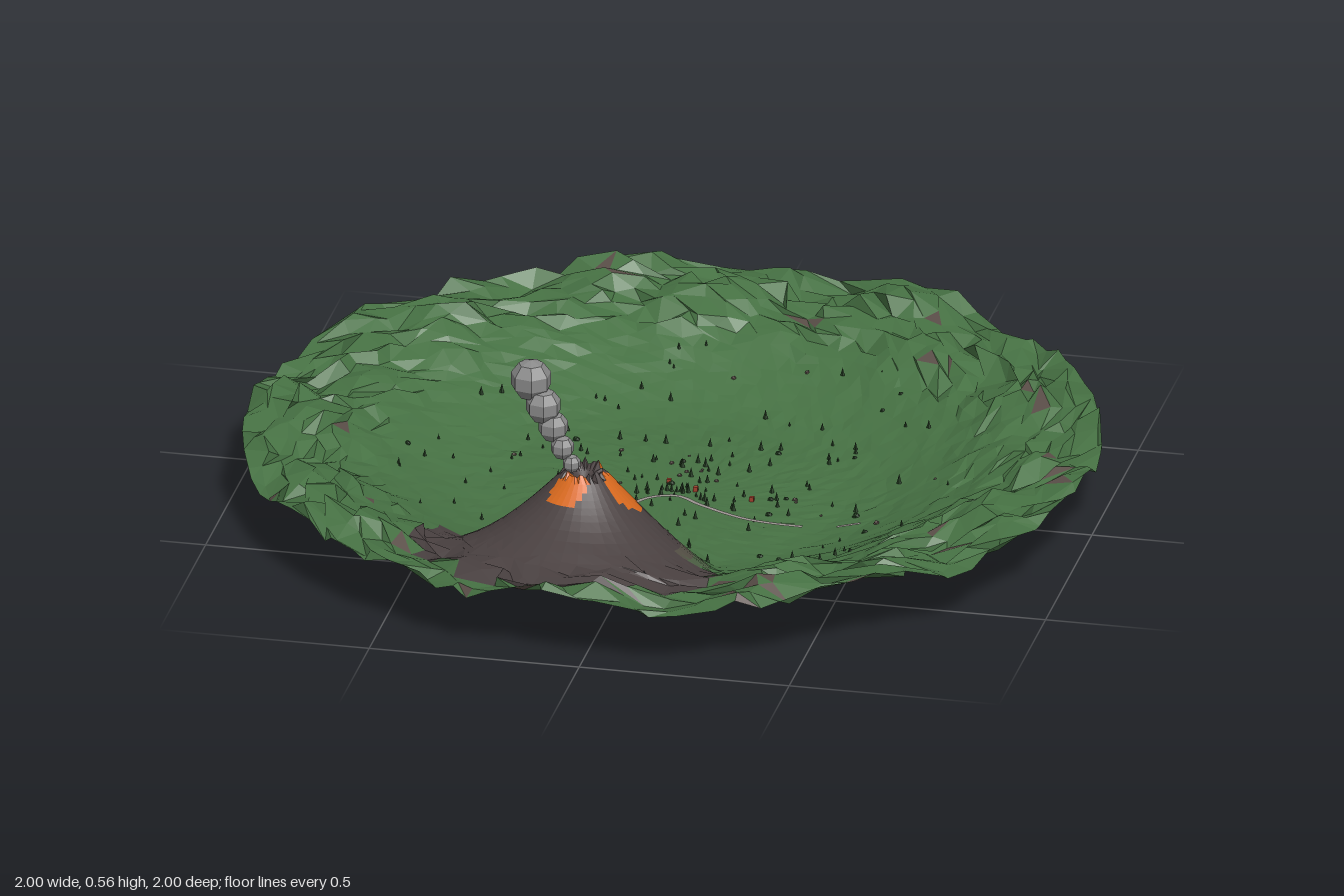
import * as THREE from 'three';
import { mergeGeometries } from 'three/addons/utils/BufferGeometryUtils.js';

const CX = -0.085, CZ = 0.562; // volcano centre

function seeded(seed) {
  return () => {
    seed = (seed * 1664525 + 1013904223) % 4294967296;
    return seed / 4294967296;
  };
}

const { lerp, smoothstep } = THREE.MathUtils;

function material(name, color, doubleSided) {
  const m = new THREE.MeshStandardMaterial({ color });
  m.name = name;
  m.flatShading = true;
  if (doubleSided) m.side = THREE.DoubleSide;
  return m;
}

// Bowl profile: flat floor, then a rising bank, then the rim
const PROFILE = [[0, 0.006], [0.42, 0.008], [0.5, 0.024], [0.6, 0.06], [0.7, 0.105], [0.78, 0.14], [0.88, 0.158], [1.1, 0.164]];
function bowl(r) {
  let i = 1;
  while (i < PROFILE.length - 1 && PROFILE[i][0] < r) i++;
  const [a, b] = [PROFILE[i - 1], PROFILE[i]];
  return lerp(a[1], b[1], (r - a[0]) / (b[0] - a[0]));
}

const coneDistance = (x, z) => Math.hypot(x - CX, z - CZ);

// Height of the smooth ground with the volcano on it
function groundHeight(x, z) {
  const base = bowl(Math.hypot(x, z));
  const d = coneDistance(x, z);
  if (d < 0.045) return lerp(0.27, 0.305, d / 0.045);
  const f = Math.pow(Math.max(0, Math.min(1, (0.32 - d) / 0.275)), 1.2);
  return lerp(base, 0.305, f);
}

// Grid of points, split into one mesh per part chosen by pick(x, z)
function gridSurface(points, pick, parts) {
  const buckets = {};
  const addTriangle = (a, b, c) => {
    const key = pick((a[0] + b[0] + c[0]) / 3, (a[2] + b[2] + c[2]) / 3);
    if (key) (buckets[key] ??= []).push(...a, ...b, ...c);
  };
  for (let i = 0; i < points.length - 1; i++) {
    const [p, q] = [points[i], points[i + 1]];
    for (let j = 0; j < p.length - 1; j++) {
      addTriangle(p[j], p[j + 1], q[j]);
      addTriangle(q[j], p[j + 1], q[j + 1]);
    }
  }
  return Object.entries(buckets).map(([key, positions]) => {
    const g = new THREE.BufferGeometry();
    g.setAttribute('position', new THREE.Float32BufferAttribute(positions, 3));
    g.computeVertexNormals();
    const mesh = new THREE.Mesh(g, parts[key]);
    mesh.name = key;
    return mesh;
  });
}

export function createModel() {
  const model = new THREE.Group();
  model.name = 'volcanoValley';
  const rand = seeded(11);
  const spread = (s) => (rand() - 0.5) * 2 * s;

  const grass = material('grass green', 0x467143, true);
  const ash = material('dark ash', 0x4a4141, true);
  const scorched = material('scorched earth', 0x565247, true);
  const dryGrass = material('dry grass', 0x4f6346, true);
  const lavaOrange = material('lava orange', 0xd8691e, true);
  const smokeGrey = material('smoke grey', 0x8a8a8a);
  const pathGrey = material('path grey', 0x9a9490, true);
  const leaf = material('dark leaf', 0x223c20);
  const stone = material('stone brown', 0x5a4e48, true);
  const roofRed = material('roof red', 0xa0402c);
  const parts = {
    land: grass, ashField: ash, rimStones: stone, cone: ash, lava: lavaOrange,
    scorchedGround: scorched, dryGround: dryGrass, footpath: pathGrey,
  };

  // Bowl-shaped land with a rough, broken rim
  const RINGS = 32, SEGS = 100;
  const land = [];
  for (let i = 0; i <= RINGS; i++) {
    const row = [];
    const r0 = i / RINGS;
    const rough = smoothstep(r0, 0.58, 0.9);
    const calm = smoothstep(r0, 0.05, 0.3);
    for (let j = 0; j < SEGS; j++) {
      const r = r0 + (i < RINGS ? spread(0.008 * calm + 0.016 * rough) : 0);
      const a = ((j + spread(0.25 * calm + 0.3 * rough)) / SEGS) * Math.PI * 2;
      const x = r * Math.cos(a), z = r * Math.sin(a);
      const swell = (0.015 * Math.sin(a * 9 + 6 * r) + 0.014 * Math.sin(a * 16 - 14 * r + 2)) * rough;
      const spike = rand() < 0.2 ? 0.028 : 0.012;
      const bumps = swell + spread(0.002 * calm + spike * rough);
      const y = groundHeight(x, z) + bumps * smoothstep(coneDistance(x, z), 0.25, 0.36);
      row.push([x, Math.max(0, y), z]);
    }
    row.push(row[0]);
    land.push(row);
  }
  const groundZone = (x, z) => {
    const r = Math.hypot(x, z), d = coneDistance(x, z);
    if (d < 0.385 + 0.02 * Math.sin(x * 40) && r > 0.62) return 'ashField';
    if (d < 0.255) return 'scorchedGround';
    return d < 0.29 ? 'dryGround' : 'land';
  };
  const landPick = (x, z) => {
    if (coneDistance(x, z) < 0.255) return null;
    const zone = groundZone(x, z);
    return zone === 'land' && Math.hypot(x, z) > 0.75 && rand() < 0.02 ? 'rimStones' : zone;
  };
  model.add(...gridSurface(land, landPick, parts));

  // Volcano with a sunken crater, open underneath
  const cone = [];
  for (const d of [0, 0.025, 0.045, 0.06, 0.075, 0.09, 0.105, 0.12, 0.135, 0.16, 0.19, 0.225, 0.255, 0.285]) {
    const row = [];
    for (let j = 0; j < 40; j++) {
      const a = (j / 40) * Math.PI * 2;
      const x = CX + d * Math.cos(a), z = CZ + d * Math.sin(a);
      row.push([x, groundHeight(x, z) + (d === 0.045 ? spread(0.012) : 0), z]);
    }
    row.push(row[0]);
    cone.push(row);
  }
  // Lava patches on the slope: [x, z, radius x, radius z]
  const lavaSpots = [[0.003, 0.55, 0.042, 0.054], [-0.13, 0.487, 0.022, 0.034], [-0.055, 0.488, 0.02, 0.036], [-0.108, 0.625, 0.046, 0.038]];
  const conePick = (x, z) => {
    if (lavaSpots.some(([u, v, a, b]) => Math.hypot((x - u) / a, (z - v) / b) < 1) && coneDistance(x, z) > 0.035) return 'lava';
    return coneDistance(x, z) < 0.225 ? 'cone' : groundZone(x, z);
  };
  const volcano = new THREE.Group();
  volcano.name = 'volcano';
  volcano.add(...gridSurface(cone, conePick, parts));
  model.add(volcano);

  // Rising smoke puffs
  const puffs = [[-0.112, 0.322, 0.575, 0.022], [-0.135, 0.358, 0.57, 0.029], [-0.16, 0.402, 0.555, 0.037], [-0.184, 0.452, 0.553, 0.043], [-0.216, 0.51, 0.54, 0.05]];
  puffs.forEach(([x, y, z, r]) => {
    const puff = new THREE.Mesh(new THREE.SphereGeometry(r, 7, 5), smokeGrey);
    puff.name = 'smokePuff';
    puff.position.set(x, y, z);
    model.add(puff);
  });

  // Winding footpath laid on the ground
  const addPath = (pts) => {
    const curve = new THREE.CatmullRomCurve3(pts.map(([x, z]) => new THREE.Vector3(x, 0, z)));
    const rows = curve.getSpacedPoints(40).map((p, i) => {
      const t = curve.getTangentAt(i / 40);
      return [-1, 1].map((s) => {
        const x = p.x - t.z * 0.006 * s, z = p.z + t.x * 0.006 * s;
        return [x, groundHeight(x, z) + 0.007, z];
      });
    });
    model.add(...gridSurface(rows, () => 'footpath', parts));
  };
  addPath([[-0.105, 0.37], [-0.065, 0.27], [-0.085, 0.14], [-0.05, 0.05], [0.015, 0.02], [0.08, 0.06], [0.19, 0.115], [0.26, 0.13], [0.34, 0.135]]);
  addPath([[0.42, 0.128], [0.475, 0.118]]);

  // Scattered trees, bushes and boulders, densest in the middle
  const scatter = (name, mat, count, power, make) => {
    const out = [];
    while (out.length < count) {
      const r = 0.66 * Math.pow(rand(), power), a = rand() * Math.PI * 2;
      const x = r * Math.cos(a) + 0.02, z = r * Math.sin(a) - 0.02;
      if (coneDistance(x, z) < 0.3) continue;
      out.push(make().translate(x, groundHeight(x, z), z));
    }
    const mesh = new THREE.Mesh(mergeGeometries(out), mat);
    mesh.name = name;
    model.add(mesh);
  };
  scatter('trees', leaf, 150, 1.25, () => {
    const s = 0.5 + 0.6 * rand();
    return new THREE.ConeGeometry(0.006 * s, 0.022 * s, 5).translate(0, 0.012 * s, 0);
  });
  scatter('bushes', leaf, 22, 0.6, () => new THREE.IcosahedronGeometry(0.006 + 0.004 * rand()));
  scatter('boulders', stone, 20, 0.9, () => new THREE.DodecahedronGeometry(0.003 + 0.004 * rand()));

  // Tiny huts
  for (const [x, z] of [[0.19, 0], [-0.02, -0.06], [0.05, -0.03]]) {
    const hut = new THREE.Mesh(new THREE.BoxGeometry(0.01, 0.012, 0.01), roofRed);
    hut.name = 'hut';
    hut.position.set(x, 0.012, z);
    model.add(hut);
  }
  return model;
}
